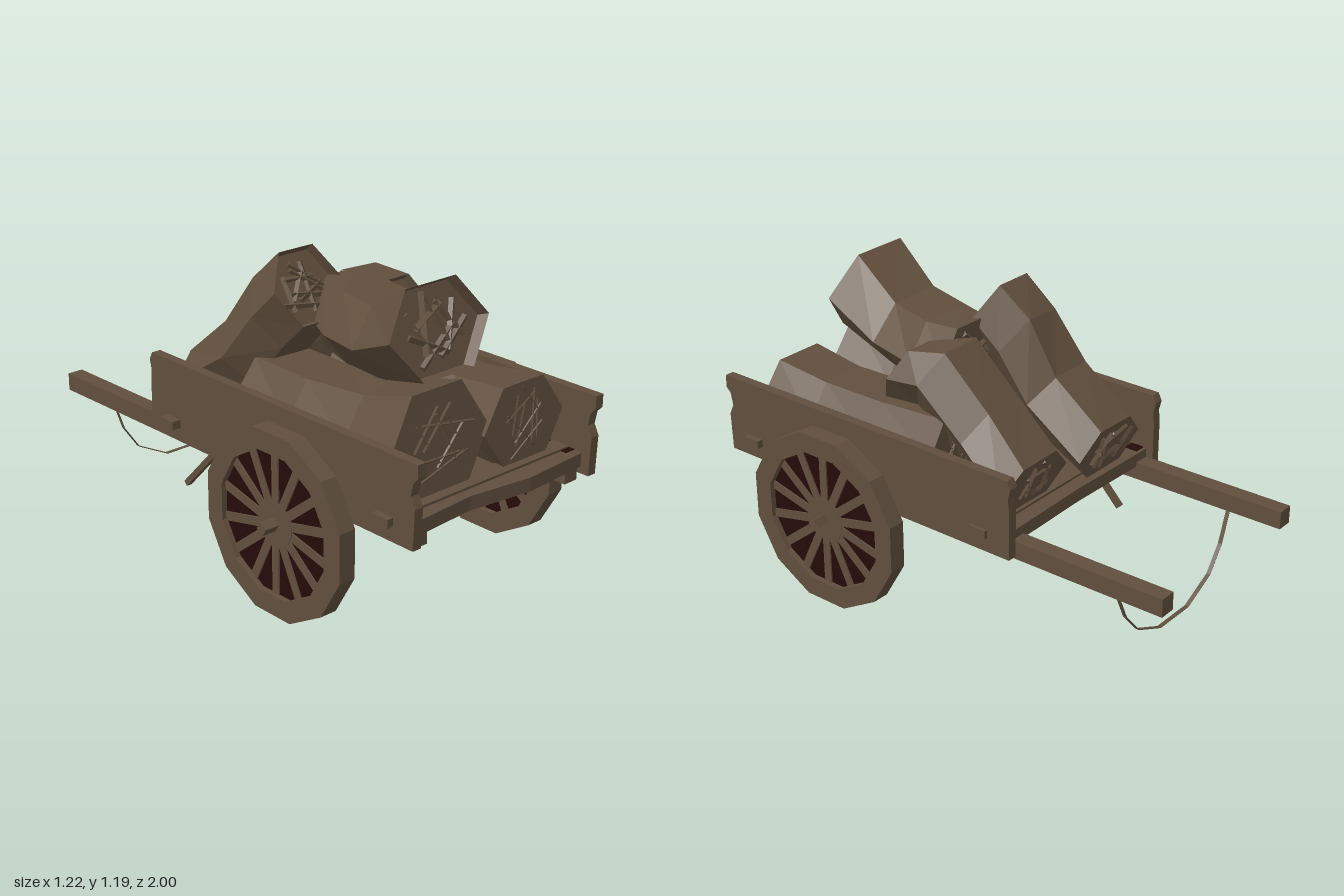
import * as THREE from 'three';

const wood = new THREE.MeshStandardMaterial({ color: 0x614f3d, flatShading: true });
wood.name = 'brown wood and straw';
const red = new THREE.MeshStandardMaterial({ color: 0x260a0a, flatShading: true });
red.name = 'dark red';

// small seeded random
let seed = 7;
const rnd = () => (seed = (seed * 16807) % 2147483647) / 2147483647;

function add(parent, name, geo, mat = wood) {
  const m = new THREE.Mesh(geo, mat);
  m.name = name;
  parent.add(m);
  return m;
}
function box(parent, name, size, pos, mat) {
  const m = add(parent, name, new THREE.BoxGeometry(...size), mat);
  m.position.set(...pos);
  return m;
}

// outline in (z, y) extruded across x, centred on x = 0
function extrudeX(shape, width) {
  const g = new THREE.ExtrudeGeometry(shape, { depth: width, bevelEnabled: false });
  g.translate(0, 0, -width / 2);
  g.rotateY(-Math.PI / 2);
  return g;
}
function polygon(n, r) {
  return Array.from({ length: n }, (_, i) => {
    const a = ((i + 0.5) / n) * Math.PI * 2;
    return new THREE.Vector2(Math.cos(a) * r, Math.sin(a) * r);
  });
}

function wheel(side) {
  const g = new THREE.Group();
  g.name = side > 0 ? 'leftWheel' : 'rightWheel';
  const rim = new THREE.Shape(polygon(12, 0.357));
  rim.holes.push(new THREE.Path(polygon(12, 0.277).reverse()));
  add(g, 'rim', extrudeX(rim, 0.07));
  add(g, 'wheelPanel', extrudeX(new THREE.Shape(polygon(12, 0.279)), 0.024), red);
  for (let i = 0; i < 14; i++) {
    const a = (i / 14) * Math.PI * 2;
    const s = box(g, 'spoke', [0.036, 0.25, 0.034], [0, Math.cos(a) * 0.15, Math.sin(a) * 0.15]);
    s.rotation.x = a;
  }
  add(g, 'hub', extrudeX(new THREE.Shape(polygon(14, 0.088)), 0.04));
  box(g, 'axle', [0.26, 0.036, 0.036], [-side * 0.05, 0.003, 0]).rotation.x = 0.6;
  g.position.set(side * 0.53, 0.347, 0.407);
  return g;
}

// rings from front to back: [x, y, z, radiusX, radiusY, pitch]
function bundle(name, rings, recess, strawWidth) {
  const g = new THREE.Group();
  g.name = name;
  const N = 6;
  const normal = (r) => new THREE.Vector3(0, Math.sin(r[5]), Math.cos(r[5]));
  const point = (r, a, k = 1) => new THREE.Vector3(
    r[0] + r[3] * k * Math.cos(a),
    r[1] + r[4] * k * Math.sin(a) * Math.cos(r[5]),
    r[2] - r[4] * k * Math.sin(a) * Math.sin(r[5]));
  const loops = rings.map((r, i) => Array.from({ length: N }, (_, j) => {
    const wobble = i === 0 ? 1 : 0.95 + rnd() * 0.1;
    return point(r, (j / N) * Math.PI * 2, wobble);
  }));
  // sunken open end
  const first = rings[0];
  const n = normal(first);
  loops.unshift(loops[0].map((p) => p.clone()
    .lerp(new THREE.Vector3(first[0], first[1], first[2]), 0.07).addScaledVector(n, -recess)));
  const pos = [];
  const tri = (...v) => v.forEach((p) => pos.push(p.x, p.y, p.z));
  const mid = (l) => l.reduce((s, p) => s.add(p), new THREE.Vector3()).divideScalar(N);
  const front = loops[0], back = loops[loops.length - 1];
  for (let j = 0; j < N; j++) {
    const k = (j + 1) % N;
    for (let i = 0; i + 1 < loops.length; i++) {
      const a = loops[i], b = loops[i + 1];
      tri(a[j], b[j], a[k]);
      tri(a[k], b[j], b[k]);
    }
    tri(mid(front), front[j], front[k]);
    tri(mid(back), back[k], back[j]);
  }
  const geo = new THREE.BufferGeometry();
  geo.setAttribute('position', new THREE.Float32BufferAttribute(pos, 3));
  geo.computeVertexNormals();
  add(g, 'bundleBody', geo);
  // loose stalks lying across both ends, rolled onto one edge
  [[first, -recess], [rings[rings.length - 1], 0]].forEach(([r, depth]) => {
    for (let i = 0; i < 9; i++) {
      const a = i * 2.4;
      const p = point(r, a, 0.1 + rnd() * 0.35).addScaledVector(normal(r), depth);
      const len = Math.min(r[3], r[4]) * (0.8 + rnd() * 0.4);
      const s = box(g, 'stalk', [len, strawWidth, strawWidth], p.toArray());
      s.geometry.rotateX(0.6);
      s.rotation.set(-r[5], 0, a + Math.PI / 2 + (rnd() - 0.5) * 1.2);
    }
  });
  return g;
}

export function createModel() {
  const cart = new THREE.Group();
  cart.name = 'handcart';

  // floor with an uneven front edge
  const floor = new THREE.Shape([
    [-0.42, -0.37], [0, -0.36], [0.42, -0.37], [0.42, 0.95], [0.13, 0.97], [-0.14, 0.935], [-0.42, 0.955],
  ].map(([x, z]) => new THREE.Vector2(x, -z)).reverse());
  const floorGeo = new THREE.ExtrudeGeometry(floor, { depth: 0.053, bevelEnabled: false });
  floorGeo.rotateX(-Math.PI / 2);
  add(cart, 'floor', floorGeo).position.y = 0.457;

  // cross beams poking through the sides
  box(cart, 'frontCrossBeam', [0.97, 0.032, 0.075], [0, 0.503, 0.855]);
  box(cart, 'rearCrossBeam', [0.97, 0.032, 0.075], [-0.012, 0.503, -0.265]);

  // side boards with worn ends
  const board = new THREE.Shape([
    [-0.4, 0.43], [0.985, 0.43], [0.99, 0.58], [0.97, 0.62], [0.98, 0.67], [1, 0.69],
    [1, 0.74], [-0.39, 0.74], [-0.405, 0.71], [-0.395, 0.67], [-0.4, 0.62],
  ].map((p) => new THREE.Vector2(...p)));
  for (const s of [-1, 1]) {
    const side = s > 0 ? 'left' : 'right';
    add(cart, side + 'SideBoard', extrudeX(board, 0.038)).position.x = s * 0.44;
    box(cart, side + 'FloorEdge', [0.045, 0.006, 1.27], [s * 0.4, 0.511, 0.28], red);
    cart.add(wheel(s));
    // long pull shafts under the floor
    const shaft = box(cart, side + 'Shaft', [0.065, 0.07, 1.94], [s * 0.38 - 0.008, 0.44, -0.03]);
    shaft.rotation.y = 0.009;
  }

  // prop stick
  const prop = box(cart, 'propStick', [0.022, 0.29, 0.022], [-0.4, 0.335, -0.17]);
  prop.rotation.x = 0.77;

  // sagging flat strap between the shafts
  const sag = [[-0.375, 0.41], [-0.33, 0.28], [-0.26, 0.18], [-0.12, 0.108], [0.06, 0.108], [0.2, 0.17], [0.28, 0.26], [0.35, 0.41]];
  for (let i = 0; i + 1 < sag.length; i++) {
    const [ax, ay] = sag[i], [bx, by] = sag[i + 1];
    const piece = box(cart, 'strap', [Math.hypot(bx - ax, by - ay), 0.002, 0.016],
      [(ax + bx) / 2, (ay + by) / 2, -0.775]);
    piece.rotation.z = Math.atan2(by - ay, bx - ax);
  }

  // load of straw bundles
  cart.add(bundle('lowerRightBundle', [
    [-0.18, 0.69, 0.83, 0.235, 0.215, 0.12], [-0.2, 0.66, 0.58, 0.2, 0.18, 0],
    [-0.2, 0.65, 0.3, 0.2, 0.16, 0], [-0.18, 0.65, 0.0, 0.21, 0.16, 0]], 0, 0.008));
  cart.add(bundle('lowerLeftBundle', [
    [0.22, 0.655, 0.85, 0.205, 0.17, 0.08], [0.225, 0.64, 0.6, 0.18, 0.155, 0],
    [0.22, 0.64, 0.32, 0.185, 0.155, 0], [0.21, 0.65, 0.02, 0.19, 0.16, 0]], 0, 0.006));
  cart.add(bundle('topBundle', [
    [-0.08, 1.035, 0.72, 0.24, 0.185, 0.31], [-0.03, 0.93, 0.47, 0.21, 0.145, 0.15],
    [0.02, 0.915, 0.26, 0.21, 0.155, 0.05], [0.05, 0.93, 0.1, 0.165, 0.155, 0]], 0.04, 0.02));
  cart.add(bundle('rearRightBundle', [
    [-0.145, 1.06, 0.13, 0.16, 0.16, 0.5], [-0.165, 0.95, 0.02, 0.16, 0.165, 0.6],
    [-0.18, 0.77, -0.11, 0.175, 0.14, 0.6], [-0.19, 0.61, -0.36, 0.19, 0.12, 0.25]], 0.035, 0.016));
  cart.add(bundle('rearLeftBundle', [
    [0.25, 0.91, 0.24, 0.12, 0.14, 0.5], [0.195, 0.92, 0.1, 0.17, 0.155, 0.5],
    [0.18, 0.75, -0.1, 0.175, 0.13, 0.5], [0.2, 0.605, -0.31, 0.19, 0.11, 0.25]], 0.03, 0.012));
  return cart;
}
